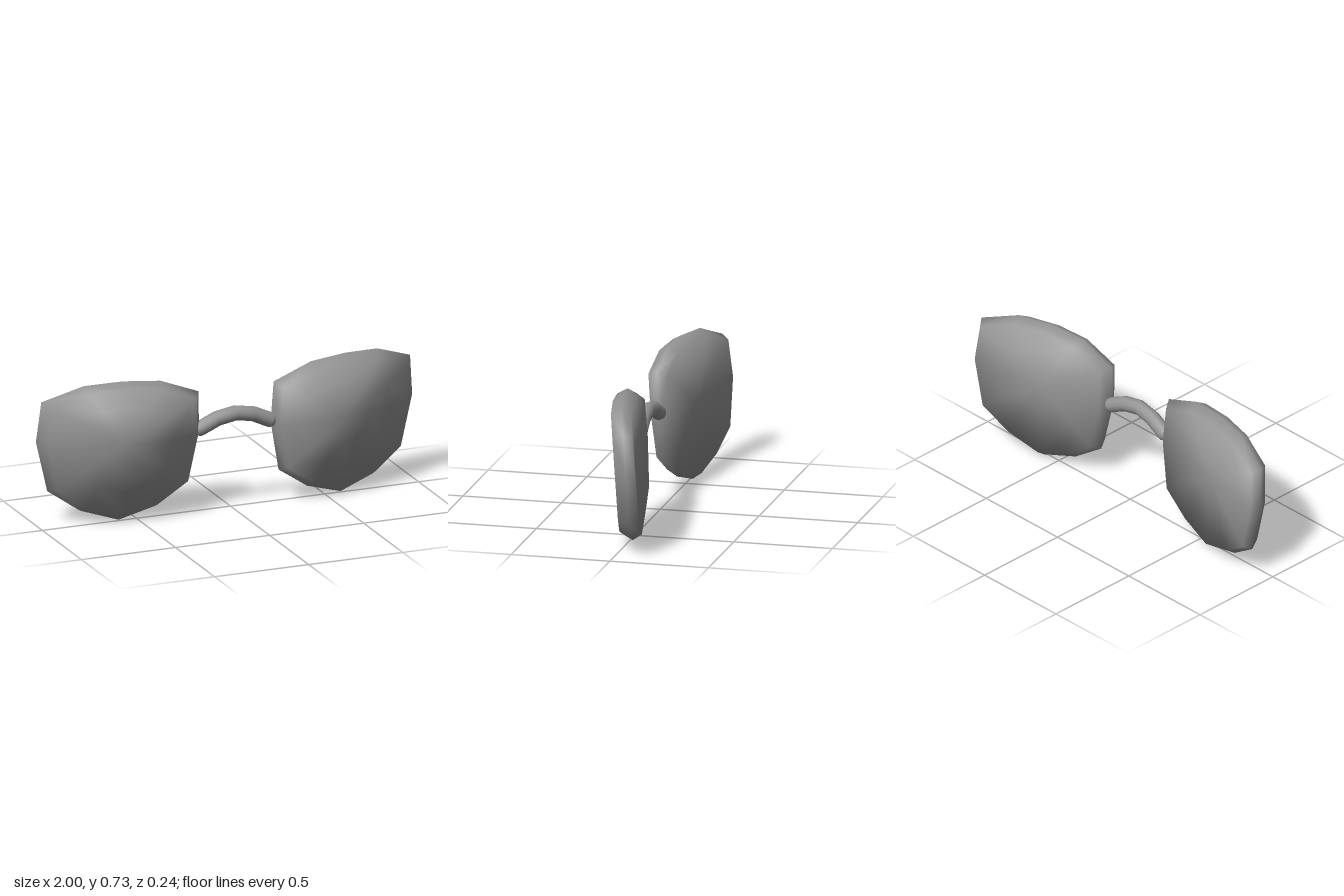
import * as THREE from 'three';

const material = new THREE.MeshStandardMaterial({ color: 0x949494 });

// Rim outline of one lens, counter-clockwise seen from the front
const OUTLINE = [
  [0.59, 0.73], [0.40, 0.717], [0.20, 0.64], [0.19, 0.43], [0.24, 0.17], [0.40, 0.06],
  [0.59, 0], [0.78, 0.06], [0.94, 0.17], [1.0, 0.43], [0.98, 0.64], [0.78, 0.717],
];
const CENTRE = [0.59, 0.4];

// Rings from the middle of the back, round the bevelled rim, to the middle of the front:
// [scale of the outline, offset from the middle surface]
const RINGS = [
  [0, -0.05], [0.3, -0.05], [0.6, -0.05], [0.885, -0.05], [0.92, -0.048],
  [1, 0],
  [0.92, 0.052], [0.885, 0.054], [0.6, 0.054], [0.3, 0.054], [0, 0.054],
];
const BACK_EDGE = 4;
const FRONT_EDGE = 6;

// Wrapped and slightly tilted middle surface of the lens
const surfaceZ = (x, y) =>
  0.053 - 0.095 * (x - 0.2) - 0.19 * (x - 0.2) * (x - 0.59) + 0.07 * (y - 0.4);

// Spread the bevel's shading smoothly over the whole lens face
function softenFaces(geometry) {
  const normals = geometry.attributes.normal;
  const n = OUTLINE.length;
  const own = new THREE.Vector3();
  const rim = new THREE.Vector3();
  RINGS.forEach(([scale], r) => {
    if (r >= BACK_EDGE && r <= FRONT_EDGE) return;
    const edge = r < BACK_EDGE ? BACK_EDGE : FRONT_EDGE;
    for (let i = 0; i < n; i++) {
      own.fromBufferAttribute(normals, r * n + i);
      rim.fromBufferAttribute(normals, edge * n + i);
      own.lerp(rim, scale / RINGS[edge][0]).normalize();
      normals.setXYZ(r * n + i, own.x, own.y, own.z);
    }
  });
}

function lensGeometry(side) {
  const positions = [];
  const index = [];
  const n = OUTLINE.length;
  for (const [scale, offset] of RINGS) {
    for (const [px, py] of OUTLINE) {
      const x = CENTRE[0] + (px - CENTRE[0]) * scale;
      const y = CENTRE[1] + (py - CENTRE[1]) * scale;
      positions.push(side * x, y, surfaceZ(x, y) + offset);
    }
  }
  for (let r = 0; r < RINGS.length - 1; r++) {
    for (let i = 0; i < n; i++) {
      const a = r * n + i;
      const b = r * n + ((i + 1) % n);
      const c = b + n;
      const d = a + n;
      if (side > 0) index.push(a, b, c, a, c, d);
      else index.push(a, c, b, a, d, c);
    }
  }
  const geometry = new THREE.BufferGeometry();
  geometry.setAttribute('position', new THREE.Float32BufferAttribute(positions, 3));
  geometry.setIndex(index);
  geometry.computeVertexNormals();
  softenFaces(geometry);
  return geometry;
}

export function createModel() {
  const model = new THREE.Group();
  model.name = 'eyeglasses';

  const add = (name, geometry, parent = model) => {
    const mesh = new THREE.Mesh(geometry, material);
    mesh.name = name;
    parent.add(mesh);
    return mesh;
  };

  // Two mirrored lenses
  add('leftLens', lensGeometry(1));
  add('rightLens', lensGeometry(-1));

  // Arched nose bridge in four straight runs, with rounded ends
  const bridge = new THREE.Group();
  bridge.name = 'bridge';
  model.add(bridge);
  const radius = 0.038;
  const path = new THREE.CatmullRomCurve3(
    [[-0.183, 0.442, 0.055], [-0.11, 0.479, 0.061], [0, 0.502, 0.066],
      [0.11, 0.479, 0.061], [0.183, 0.442, 0.055]].map((p) => new THREE.Vector3(...p)));
  add('bridgeBar', new THREE.TubeGeometry(path, 4, radius, 12), bridge);
  for (const side of [-1, 1]) {
    const end = add(side > 0 ? 'leftBridgeEnd' : 'rightBridgeEnd',
      new THREE.SphereGeometry(radius, 12, 8), bridge);
    end.position.set(side * 0.183, 0.442, 0.055);
  }

  return model;
}
